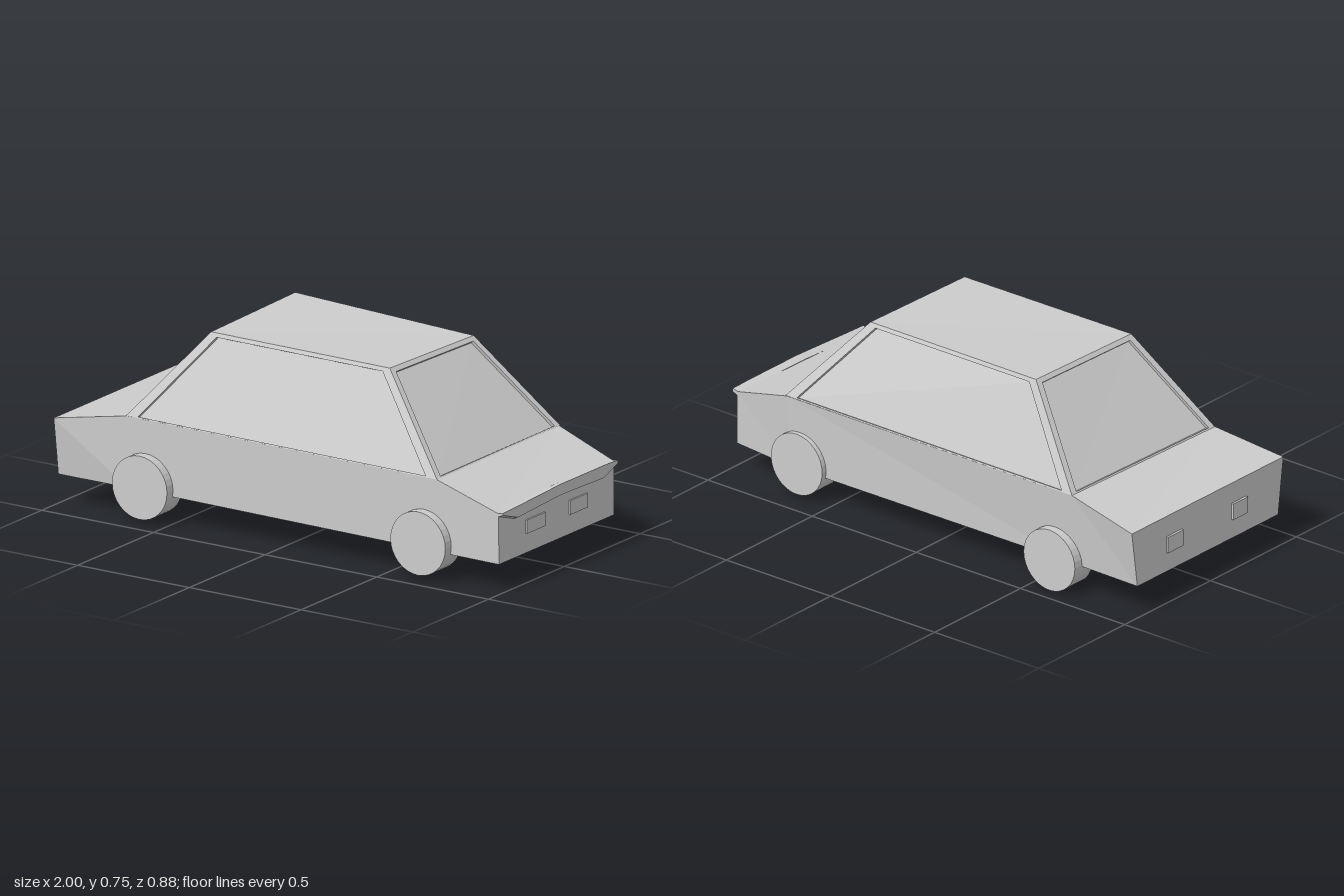
import * as THREE from 'three';

const paint = new THREE.MeshStandardMaterial({ color: 0xcccccc });
paint.name = 'light grey';

// Flat-faced mesh from a list of quads (corners counter-clockwise from outside)
function quadMesh(name, quads) {
  const pos = [];
  for (const [a, b, c, d] of quads) pos.push(...a, ...b, ...c, ...a, ...c, ...d);
  const g = new THREE.BufferGeometry();
  g.setAttribute('position', new THREE.Float32BufferAttribute(pos, 3));
  g.computeVertexNormals();
  const m = new THREE.Mesh(g, paint);
  m.name = name;
  return m;
}

// Quads joining four-cornered rings, with both ends capped
function loft(rings) {
  const quads = [[...rings[0]].reverse(), rings[rings.length - 1]];
  for (let s = 0; s + 1 < rings.length; s++) {
    const A = rings[s], B = rings[s + 1];
    for (let i = 0; i < 4; i++) {
      const j = (i + 1) % 4;
      quads.push([A[i], A[j], B[j], B[i]]);
    }
  }
  return quads;
}

const lerp = (a, b, t) => a.map((v, i) => v + (b[i] - v) * t);

// Cabin side: a frame, the reveal, and a sunken pane
function windowSide(name, q, depth = 0.012) {
  const [a, b, c, d] = q;
  const at = (u, v) => lerp(lerp(a, b, u), lerp(d, c, u), v);
  const hole = [at(0.035, 0.015), at(0.965, 0.015), at(0.95, 0.955), at(0.05, 0.955)];
  const va = new THREE.Vector3(...a);
  const n = new THREE.Vector3(...b).sub(va).cross(new THREE.Vector3(...d).sub(va)).normalize();
  const pane = hole.map(p => [p[0] - n.x * depth, p[1] - n.y * depth, p[2] - n.z * depth]);
  const frame = [];
  for (let i = 0; i < 4; i++) {
    const j = (i + 1) % 4;
    frame.push([q[i], q[j], hole[j], hole[i]], [hole[i], hole[j], pane[j], pane[i]]);
  }
  const g = new THREE.Group();
  g.name = name;
  g.add(quadMesh(name + 'Frame', frame), quadMesh(name + 'Pane', [pane]));
  return g;
}

export function createModel() {
  const car = new THREE.Group();
  car.name = 'car';

  // Lower body: cross-sections along x
  // x, bottom y, bottom z near / far, top y near / far, top z near / far
  const sections = [
    [-0.987, 0.12, 0.41, -0.41, 0.345, 0.345, 0.44, -0.442],
    [-0.685, 0.117, 0.4, -0.4, 0.395, 0.407, 0.402, -0.425],
    [0.703, 0.107, 0.4, -0.39, 0.387, 0.395, 0.402, -0.4],
    [0.98, 0.106, 0.402, -0.356, 0.303, 0.316, 0.404, -0.356],
  ];
  const rings = sections.map(([x, yb, zb, zbf, yt, ytf, zt, ztf]) =>
    [[x, yb, zb], [x, yb, zbf], [x, ytf, ztf], [x, yt, zt]]);
  car.add(quadMesh('lowerBody', loft(rings)));

  // Cabin: belt corners, roof corners, four window sides
  const belt = [[-0.69, 0.394, 0.402], [0.703, 0.387, 0.402], [0.71, 0.396, -0.4], [-0.685, 0.407, -0.425]];
  const roof = [[-0.4, 0.736, 0.267], [0.4, 0.733, 0.267], [0.42, 0.73, -0.257], [-0.4, 0.748, -0.288]];
  ['nearSideWindow', 'windscreen', 'farSideWindow', 'rearWindow'].forEach((name, i) => {
    const j = (i + 1) % 4;
    car.add(windowSide(name, [belt[i], belt[j], roof[j], roof[i]]));
  });
  car.add(quadMesh('roof', [roof]));

  // Lip across the end of the bonnet: z, top y, lower edge y
  const lip = [[-0.356, 0.323, 0.31], [-0.26, 0.325, 0.277], [0.02, 0.325, 0.283],
    [0.305, 0.312, 0.268], [0.404, 0.308, 0.3]];
  car.add(quadMesh('lip', loft(lip.map(([z, t, b]) =>
    [[0.965, t - 0.008, z], [0.975, b - 0.01, z], [1, b, z], [1, t, z]]))));

  // Wheels
  const wheels = [[-0.603, 0.14, 0.388], [0.643, 0.139, 0.388], [-0.592, 0.123, -0.392], [0.645, 0.139, -0.363]];
  for (const [x, y, z] of wheels) {
    const g = new THREE.CylinderGeometry(0.123, 0.123, 0.104, 32).toNonIndexed();
    g.computeVertexNormals();
    const wheel = new THREE.Mesh(g, paint);
    wheel.rotation.x = Math.PI / 2;
    wheel.position.set(x, y, z);
    wheel.name = 'wheel';
    car.add(wheel);
  }

  // Lamps: x, y, z, height, width
  const lamps = [[0.982, 0.208, 0.163, 0.053, 0.125], [0.982, 0.21, -0.118, 0.055, 0.117],
    [-0.992, 0.23, 0.18, 0.065, 0.085], [-0.992, 0.23, -0.197, 0.065, 0.09]];
  for (const [x, y, z, h, w] of lamps) {
    const lamp = new THREE.Mesh(new THREE.BoxGeometry(0.009, h, w), paint);
    lamp.position.set(x, y, z);
    lamp.name = 'lamp';
    car.add(lamp);
  }
  return car;
}
